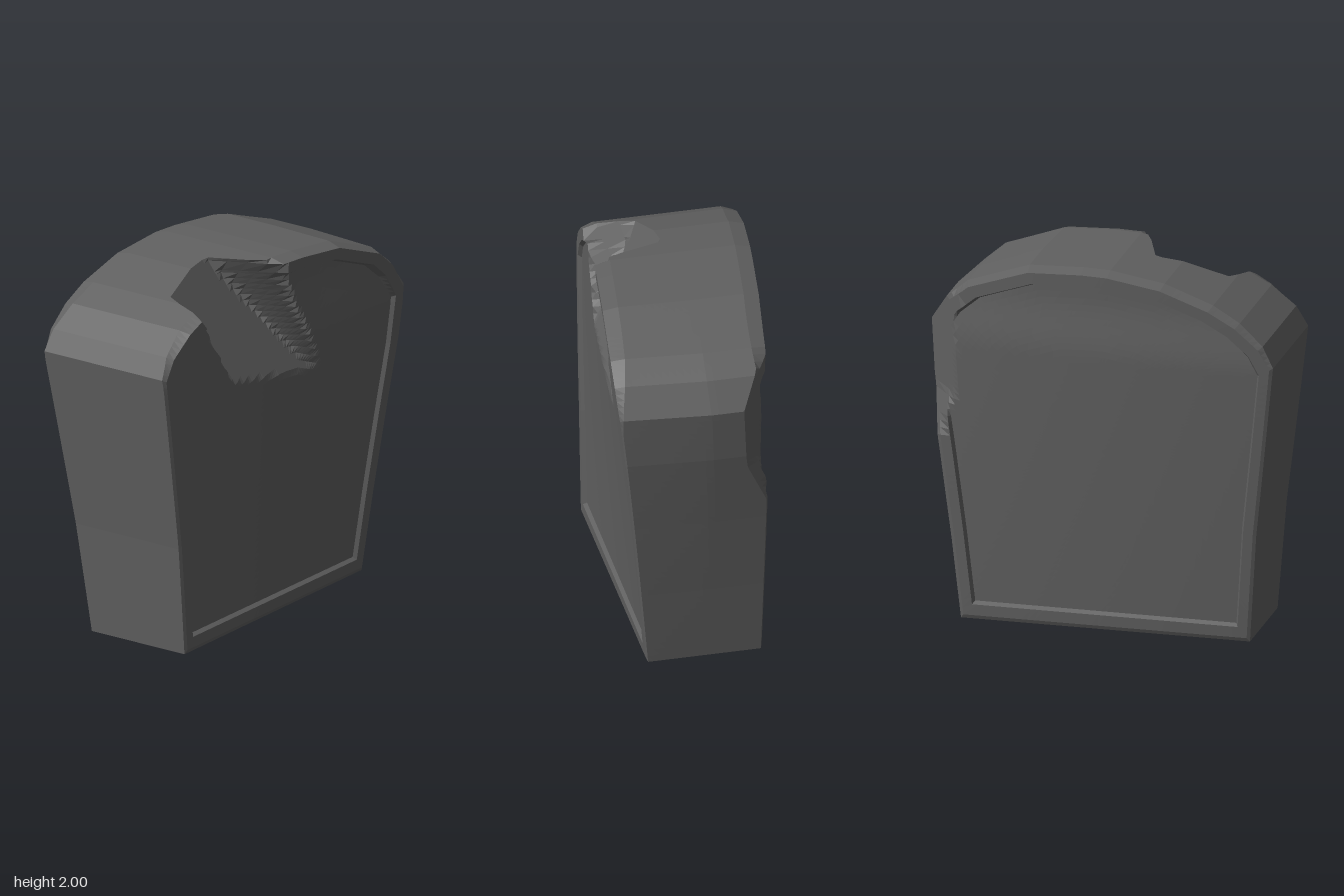
import * as THREE from 'three';

// Silhouette, clockwise from the lower left corner
const OUTLINE = [
  [-0.79, 0], [-0.84, 0.6], [-0.89, 1.0], [-0.96, 1.57], [-0.9, 1.68], [-0.77, 1.79],
  [-0.62, 1.87], [-0.35, 1.96], [-0.05, 2.0], [0.1, 2.0], [0.4, 1.98], [0.74, 1.86],
  [0.86, 1.76], [0.96, 1.61], [0.94, 1.32], [0.88, 0.9], [0.82, 0.45], [0.77, 0.015],
];
const { lerp, clamp, smoothstep } = THREE.MathUtils;

// Finely divided outline, so the chips can be cut cleanly
function subdivide(points, step) {
  const out = [];
  points.forEach(([x, y], i) => {
    const [u, v] = points[(i + 1) % points.length];
    const n = Math.ceil(Math.hypot(u - x, v - y) / step);
    for (let k = 0; k < n; k++) out.push([lerp(x, u, k / n), lerp(y, v, k / n)]);
  });
  return out;
}

// The stone thickens upward and its top is twisted
const frontZ = (x, y) => 0.31 + (y / 1.6) * (0.08 + 0.1 * x);
const backZ = (x, y) => -0.31 - (y / 1.6) * (0.095 - 0.1 * x);

// Surface of the broken hollow in the top front edge
function hollowZ(x, y) {
  const floor = 0.05 + (1.9 - y) * 0.55;
  const left = 0.3 + 3 * (-0.66 + (1.85 - y) * 0.62 - x);
  const edge = -0.06 + (1.98 - y) * 0.6;
  const right = 0.4 - Math.max(0.5, 0.5 + 3.5 * (y - 1.35)) * (edge - x);
  return Math.max(floor, left, right);
}

// Surface of the worn back edge on the left side
const wornZ = (x, y) => -0.33 + 0.8 * (x - 0.76) - Math.max(0, 1.25 - y) * 0.35;

function place(x, y, z) {
  z = Math.min(z, hollowZ(x, y));
  if (x > 0.6) z = Math.max(z, wornZ(x, y));
  const taper = x > 0 ? 0.1 * x * (y / 1.6) * Math.max(0, z) : 0;
  return [x - taper, y, z];
}

// Cross-sections from the middle of the front, over the rim, to the middle of the back
function makeRings() {
  const outline = subdivide(OUTLINE, 0.04);
  const rings = [];
  const ring = (scale, depth) => rings.push(outline.map(([ox, oy]) => {
    const x = ox * scale, y = 1 + (oy - 1) * scale;
    return place(x, y, depth(x, y, oy));
  }));
  const bevel = (oy) => 0.008 + 0.075 * smoothstep(oy, 1.5, 1.95);
  const frontSunk = (x, y) => frontZ(x, y) - 0.02 - 0.04 * smoothstep(y, 1.5, 1.85) * clamp(x * 3, 0, 1);
  const backSunk = (x, y) => backZ(x, y) + 0.025 + 0.03 * smoothstep(y, 1.5, 1.85);
  const PANEL = 26, SIDE = 18;

  for (let i = 0; i <= PANEL; i++) ring(0.905 * i / PANEL, frontSunk);
  ring(0.92, frontZ);
  ring(0.98, frontZ);
  for (let i = 0; i <= SIDE; i++) {
    ring(1, (x, y, oy) => lerp(frontZ(x, y) - bevel(oy), backZ(x, y) + bevel(oy), i / SIDE));
  }
  ring(0.98, backZ);
  ring(0.92, backZ);
  for (let i = PANEL; i >= 0; i--) ring(0.905 * i / PANEL, backSunk);
  return rings;
}

function loft(rings) {
  const positions = [];
  const n = rings[0].length;
  for (let r = 0; r < rings.length - 1; r++) {
    for (let j = 0; j < n; j++) {
      const k = (j + 1) % n;
      const a = rings[r][j], b = rings[r + 1][j], c = rings[r + 1][k], d = rings[r][k];
      positions.push(...a, ...c, ...b, ...a, ...d, ...c);
    }
  }
  const geometry = new THREE.BufferGeometry();
  geometry.setAttribute('position', new THREE.Float32BufferAttribute(positions, 3));
  geometry.computeVertexNormals();
  return geometry;
}

export function createModel() {
  const stone = new THREE.MeshStandardMaterial({ color: 0x606060 });
  stone.name = 'darkStone';
  stone.flatShading = true;

  const slab = new THREE.Mesh(loft(makeRings()), stone);
  slab.name = 'stoneSlab';

  const model = new THREE.Group();
  model.name = 'chippedHeadstone';
  model.add(slab);
  return model;
}
